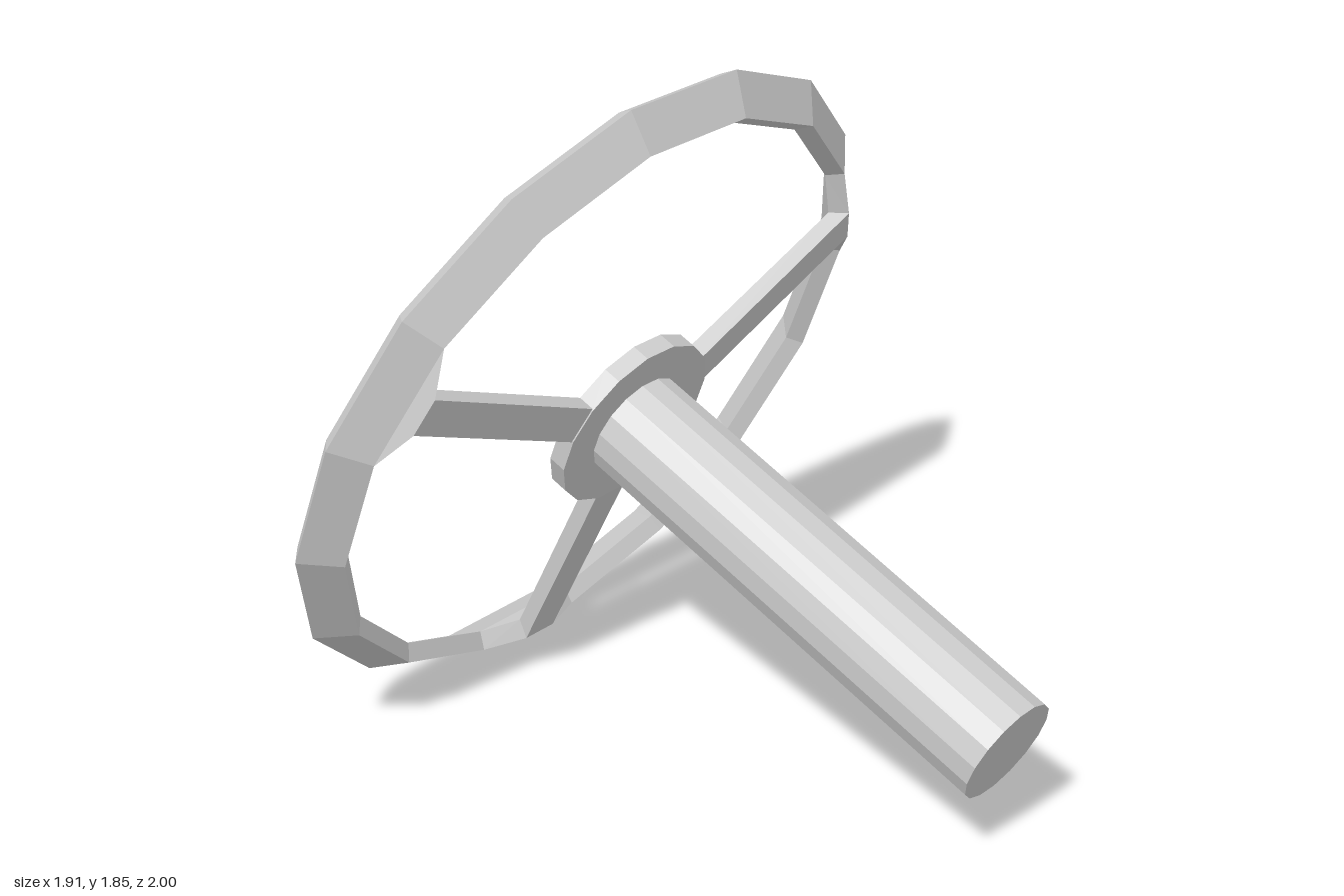
import * as THREE from 'three';

const SIDES = 16;
const HALF = Math.PI / SIDES;          // half a facet, so that flats face the axes
const toCorner = 1 / Math.cos(HALF);   // flat radius -> corner radius
const TILT = THREE.MathUtils.degToRad(112);

export function createModel() {
  const model = new THREE.Group();
  const material = new THREE.MeshStandardMaterial({ color: 0xcccccc, flatShading: true });

  // Local frame: +y runs down the column, +x points to the bottom of the wheel
  const wheel = new THREE.Group();
  wheel.name = 'steeringWheel';
  wheel.rotation.z = -TILT;
  wheel.position.set(0.242, 0.601, 0);
  model.add(wheel);

  const add = (name, geometry) => {
    const mesh = new THREE.Mesh(geometry, material);
    mesh.name = name;
    wheel.add(mesh);
    return mesh;
  };

  // Rim: a slim rectangle slanted at 45 degrees, swept round the axis
  const profile = [[0.998, -0.862], [0.908, -0.775], [0.87, -0.813], [0.96, -0.9], [0.998, -0.862]]
    .map(([r, y]) => new THREE.Vector2(r * toCorner, y));
  add('rim', new THREE.LatheGeometry(profile, SIDES, HALF));

  // Hub disc and column
  const drum = (name, radius, y0, y1) => {
    const r = radius * toCorner;
    const geometry = new THREE.CylinderGeometry(r, r, y1 - y0, SIDES, 1, false, HALF);
    add(name, geometry.translate(0, (y0 + y1) / 2, 0));
  };
  drum('hub', 0.26, -0.718, -0.665);
  drum('column', 0.152, -0.67, 0.706);

  // Spoke stations from hub to rim: back edge and front edge as [radius, y, half width]
  const stations = [
    { back: [0.24, -0.667, 0.055], front: [0.24, -0.716, 0.055] },
    { back: [0.89, -0.733, 0.055], front: [0.85, -0.775, 0.055] },
    { back: [0.908, -0.775, 0.181], front: [0.87, -0.813, 0.173] },
  ];
  const spokeGeometry = new THREE.BoxGeometry(1, 1, 1, 2, 1, 1);
  const pos = spokeGeometry.attributes.position;
  for (let i = 0; i < pos.count; i++) {
    const station = stations[Math.round((pos.getX(i) + 0.5) * 2)];
    const [r, y, w] = pos.getY(i) > 0 ? station.back : station.front;
    pos.setXYZ(i, r, y, Math.sign(pos.getZ(i)) * w);
  }
  spokeGeometry.computeVertexNormals();

  // One spoke straight down, two five facets round on either side
  for (const [name, facets] of [['lowerSpoke', 0], ['leftSpoke', -5], ['rightSpoke', 5]]) {
    add(name, spokeGeometry).rotation.y = facets * 2 * HALF;
  }

  return model;
}
